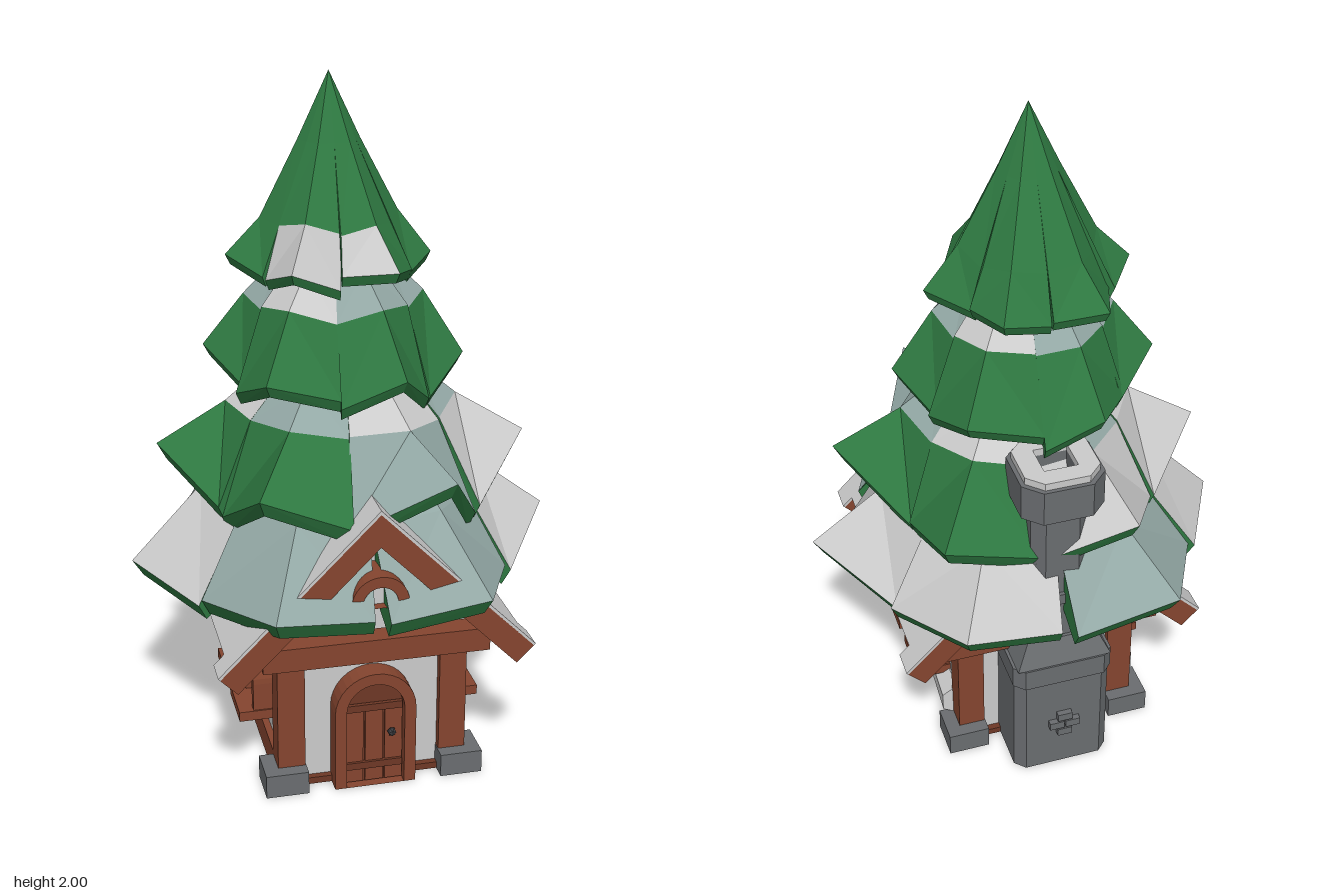
import * as THREE from 'three';

const mat = (color) => new THREE.MeshStandardMaterial({ color, flatShading: true, side: THREE.DoubleSide });
const M = {
  snow: mat(0xcccccc), frost: mat(0x93a8a5), green: mat(0x2f7a42), wood: mat(0x85452f),
  darkWood: mat(0x6e3826), stone: mat(0x6a6d70), blue: mat(0x1f4a8a), wall: mat(0xcccccc), iron: mat(0x3a3c40),
};

function add(parent, name, geo, material, x = 0, y = 0, z = 0) {
  const m = new THREE.Mesh(geo, material);
  m.name = name;
  m.position.set(x, y, z);
  parent.add(m);
  return m;
}
const box = (parent, name, material, w, h, d, x, y, z) =>
  add(parent, name, new THREE.BoxGeometry(w, h, d), material, x, y, z);
const extrude = (shape, depth) =>
  new THREE.ExtrudeGeometry(shape, { depth, bevelEnabled: false, curveSegments: 8 });
const poly = (pts) => new THREE.Shape(pts.map(([x, y]) => new THREE.Vector2(x, y)));

// Round-topped outline, w = half width
function archPath(w, h, Type = THREE.Shape) {
  const s = new Type();
  s.moveTo(-w, 0);
  s.lineTo(w, 0);
  s.lineTo(w, h - w);
  s.absarc(0, h - w, w, 0, Math.PI, false);
  s.lineTo(-w, 0);
  return s;
}
function archFrame(w, h, t, depth) {
  const s = archPath(w, h);
  s.holes.push(archPath(w - t, h - t, THREE.Path));
  return extrude(s, depth);
}

// 45 degree roof section running from z0 to z1
function chevron(parent, name, material, top, x, t, z0, z1) {
  const half = [[x, top - x], [x - t, top - x - t]];
  const pts = [[0, top], ...half, [0, top - 2 * t], ...half.slice().reverse().map(([a, b]) => [-a, b])];
  return add(parent, name, extrude(poly(pts), z1 - z0), material, 0, 0, z0);
}

// Upright block with chamfered corners and an optional square hole
function chamferBlock(w, d, h, c, hole = 0) {
  const a = w / 2, b = d / 2;
  const s = poly([[-a + c, -b], [a - c, -b], [a, -b + c], [a, b - c], [a - c, b], [-a + c, b], [-a, b - c], [-a, -b + c]]);
  if (hole) s.holes.push(poly([[-hole, -hole], [-hole, hole], [hole, hole], [hole, -hole]]));
  return extrude(s, h).rotateX(-Math.PI / 2);
}

function makeWindow() {
  const g = new THREE.Group();
  g.name = 'sideWindow';
  add(g, 'windowFrame', archFrame(0.08, 0.19, 0.028, 0.062), M.wood);
  add(g, 'windowInnerFrame', archFrame(0.054, 0.165, 0.012, 0.04), M.darkWood);
  add(g, 'windowPane', extrude(archPath(0.05, 0.16), 0.015), M.wall);
  box(g, 'windowSill', M.wood, 0.17, 0.03, 0.11, 0, 0.01, 0.05);
  return g;
}

function makeHouse() {
  const g = new THREE.Group();
  g.name = 'house';
  add(g, 'walls', extrude(poly([[-0.26, 0.01], [0.26, 0.01], [0.26, 0.44], [0, 0.78], [-0.26, 0.44]]), 0.68), M.wall, 0, 0, -0.29);
  box(g, 'floor', M.darkWood, 0.55, 0.02, 0.72, 0, 0.011, 0.05);
  for (const s of [-1, 1]) {
    // timber frame and corner stones
    for (const z of [0.375, -0.27]) {
      box(g, 'cornerPost', M.wood, 0.08, 0.4, 0.08, s * 0.24, 0.205, z);
      box(g, 'cornerStone', M.stone, 0.125, 0.07, 0.12, s * 0.26, 0.035, z + Math.sign(z) * 0.02);
    }
    box(g, 'sideBaseBeam', M.wood, 0.04, 0.08, 0.6, s * 0.26, 0.041, 0.05);
    box(g, 'sideTopBeam', M.wood, 0.05, 0.04, 0.72, s * 0.26, 0.41, 0.05);
    for (const z of [0.175, -0.06]) {
      const w = makeWindow();
      w.position.set(s * 0.26, 0.15, z);
      w.rotation.y = s * Math.PI / 2;
      g.add(w);
    }
    // snow drift against the wall
    const drift = add(g, 'snowDrift', new THREE.CylinderGeometry(0.035, 0.055, 0.28, 6).rotateX(Math.PI / 2), M.wall, s * 0.265, 0.105, -0.1);
    drift.rotation.x = 0.06;
  }
  for (const z of [0.44, -0.34]) box(g, 'tieBeam', M.wood, 0.66, 0.07, 0.07, 0, 0.45, z);
  // gable arch
  add(g, 'gableArch', archFrame(0.083, 0.095, 0.032, 0.11), M.wood, 0, 0.597, 0.39);
  add(g, 'gablePane', extrude(archPath(0.052, 0.065), 0.08), M.wall, 0, 0.597, 0.39);

  // roof: snow cover, tile strips under the eaves, capped barge boards
  chevron(g, 'roofSnow', M.snow, 0.89, 0.43, 0.012, -0.32, 0.415);
  for (const [z0, z1] of [[0.33, 0.415], [-0.07, 0.25], [-0.31, -0.2]])
    chevron(g, 'roofTiles', M.blue, 0.87, 0.425, 0.035, z0, z1);
  chevron(g, 'roofBoards', M.blue, 0.865, 0.41, 0.03, -0.32, 0.415);
  for (const z of [-0.4, 0.415]) {
    chevron(g, 'bargeBoard', M.wood, 0.88, 0.455, 0.05, z, z + 0.082);
    chevron(g, 'bargeSnow', M.snow, 0.89, 0.46, 0.006, z, z + 0.082);
  }

  // front door
  const door = new THREE.Group();
  door.name = 'door';
  door.position.z = 0.385;
  add(door, 'doorFrame', archFrame(0.12, 0.365, 0.034, 0.07), M.wood);
  add(door, 'doorLeaf', extrude(archPath(0.088, 0.333), 0.04), M.darkWood);
  for (const x of [-0.058, 0, 0.058]) box(door, 'doorPlank', M.wood, 0.052, 0.25, 0.01, x, 0.13, 0.043);
  for (const y of [0.06, 0.25]) box(door, 'doorStrap', M.darkWood, 0.165, 0.022, 0.012, 0, y, 0.05);
  add(door, 'doorKnob', new THREE.IcosahedronGeometry(0.014), M.iron, 0.05, 0.165, 0.06);
  g.add(door);
  return g;
}

function makeChimney() {
  const g = new THREE.Group();
  g.name = 'chimney';
  g.position.z = -0.365;
  const shoulder = new THREE.CylinderGeometry(0.085 * Math.SQRT2, 0.115 * Math.SQRT2, 0.08, 4).rotateY(Math.PI / 4);
  add(g, 'chimneyBase', chamferBlock(0.295, 0.225, 0.34, 0.03), M.stone);
  add(g, 'chimneyCollar', chamferBlock(0.305, 0.24, 0.07, 0.03), M.stone, 0, 0.34);
  add(g, 'chimneyShoulder', shoulder.scale(1.25, 1, 1), M.stone, 0, 0.45);
  add(g, 'chimneyShaft', chamferBlock(0.17, 0.15, 0.5, 0.035, 0.04), M.stone, 0, 0.47);
  add(g, 'shaftFoot', chamferBlock(0.19, 0.175, 0.035, 0.03), M.stone, 0, 0.62);
  add(g, 'chimneyCap', chamferBlock(0.245, 0.24, 0.11, 0.05, 0.05), M.stone, 0, 0.955);
  add(g, 'chimneyCapSnow', chamferBlock(0.22, 0.215, 0.022, 0.045, 0.05), M.snow, 0, 1.065);
  box(g, 'flueFloor', M.iron, 0.1, 0.01, 0.1, 0, 0.97, 0);
  // raised bricks on the back
  for (const [x, y] of [[-0.025, 0.17], [0.025, 0.17], [0, 0.2], [0, 0.14]])
    box(g, 'raisedBrick', M.stone, 0.045, 0.025, 0.025, x, y, -0.118);
  return g;
}

// Six separate drooping branches: high tip in the middle, low corners, thick rim.
// upper / lower give a colour letter for each branch: s snow, f frost, g green, m half green
function makeTier(name, t, seed) {
  const rnd = () => ((seed = (seed * 16807) % 2147483647) / 2147483647 - 0.5);
  const lists = { s: [], f: [], g: [] };
  for (let b = 0; b < 6; b++) {
    // three columns of points: right corner, tip, left corner
    const cols = [-1, 0, 1].map((side) => {
      const tip = side === 0;
      const a = t.turn + (b + side * 0.5) * Math.PI / 3;
      const R = tip ? t.tip : t.notch[0] * (1 + rnd() * 0.1);
      const Y = tip ? t.tipY[b] : t.notch[1] + rnd() * 0.06;
      const swing = rnd() * (tip ? 0.05 : 0.14);
      const mid = tip ? t.mid : [t.mid[0] * 0.92, t.mid[1] - 0.02];
      return [
        [0, t.peak, 0], [t.top[0] * (tip ? 1 : 0.9), t.top[1], 0], [mid[0], mid[1] + rnd() * 0.02, swing * 0.2],
        [R, Y, swing], [R * 0.95, Y - t.thick, swing], [t.tip * 0.4, t.tipY[b] + 0.06, 0], [0, t.tipY[b] + 0.08, 0],
      ].map(([cr, cy, da]) => [t.x + cr * Math.cos(a + da), cy, t.z + cr * Math.sin(a + da)]);
    });
    for (let k = 0; k < 6; k++) {
      for (let i = 0; i < 2; i++) {
        let key = k < 2 ? t.upper[b] : k === 2 ? t.lower[b] : 'g';
        if (key === 'm') key = i ? 's' : 'g';
        const [A, B, C, D] = [cols[i][k], cols[i + 1][k], cols[i + 1][k + 1], cols[i][k + 1]];
        const tris = k === 0 ? [[A, C, D]] : k === 5 ? [[A, B, D]]
          : i === 0 ? [[A, B, D], [B, C, D]] : [[A, B, C], [A, C, D]];
        lists[key].push(...tris.flat(2));
      }
    }
    // closed flanks
    for (const k of [2, 3, 4]) {
      const [R, , L] = cols;
      lists.g.push(...[R[1], R[k], R[k + 1], L[1], L[k + 1], L[k]].flat());
    }
  }
  const g = new THREE.Group();
  g.name = name;
  for (const [key, material] of [['s', M.snow], ['f', M.frost], ['g', M.green]]) {
    if (!lists[key].length) continue;
    const geo = new THREE.BufferGeometry();
    geo.setAttribute('position', new THREE.Float32BufferAttribute(lists[key], 3));
    geo.computeVertexNormals();
    add(g, name + { s: 'Snow', f: 'Frost', g: 'Needles' }[key], geo, material);
  }
  return g;
}

export function createModel() {
  const model = new THREE.Group();
  model.name = 'treeHouse';
  model.add(makeHouse(), makeChimney());
  const tiers = [
    { x: 0, z: -0.005, turn: 0, thick: 0.05, peak: 0.97, top: [0.3, 0.92], mid: [0.42, 0.81], tip: 0.635,
      tipY: [0.65, 0.61, 0.6, 0.58, 0.63, 0.64], notch: [0.535, 0.56], upper: 'sfsfsf', lower: 'sffsfs' },
    { x: 0, z: 0, turn: 0.14, thick: 0.05, peak: 1.2, top: [0.22, 1.15], mid: [0.34, 1.05], tip: 0.545,
      tipY: [0.93, 0.95, 0.92, 0.92, 0.9, 0.87], notch: [0.43, 0.79], upper: 'fsfsfs', lower: 'mfgmsg' },
    { x: -0.02, z: -0.01, turn: 0.18, thick: 0.035, peak: 1.5, top: [0.16, 1.47], mid: [0.26, 1.37], tip: 0.38,
      tipY: [1.18, 1.2, 1.19, 1.21, 1.18, 1.18], notch: [0.32, 1.11], upper: 'ffsffs', lower: 'gggggg' },
    { x: -0.03, z: -0.02, turn: 0.02, thick: 0.03, peak: 2, top: [0.09, 1.81], mid: [0.2, 1.6], tip: 0.3,
      tipY: [1.47, 1.48, 1.49, 1.49, 1.47, 1.48], notch: [0.24, 1.46], upper: 'gggggg', lower: 'gmsggg' },
  ];
  tiers.forEach((t, i) => model.add(makeTier('branchTier' + (i + 1), t, 71 + i * 137)));
  return model;
}
